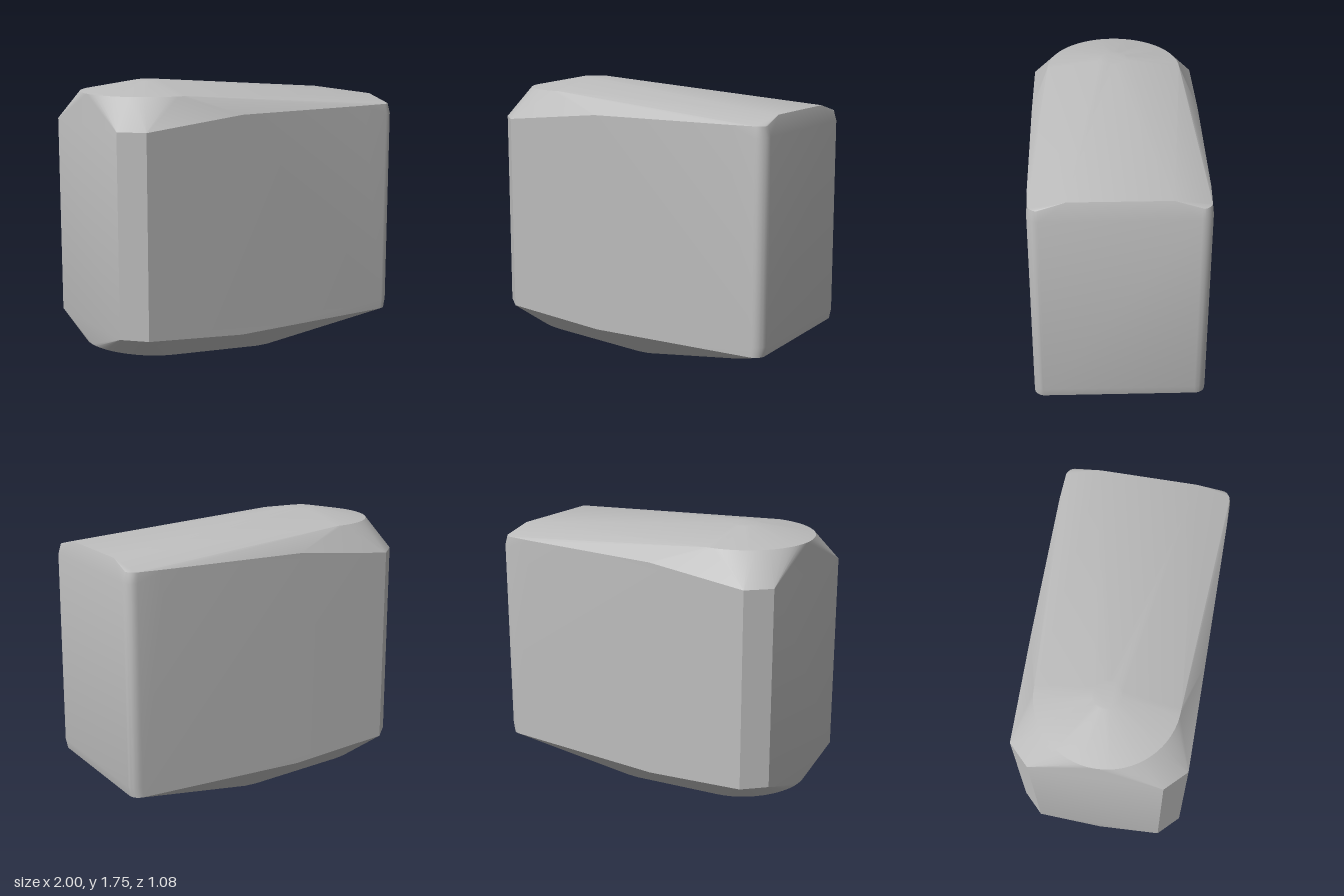
import * as THREE from 'three';
import { toCreasedNormals } from 'three/addons/utils/BufferGeometryUtils.js';
import { ConvexGeometry } from 'three/addons/geometries/ConvexGeometry.js';

export function createModel() {
  const group = new THREE.Group();
  const grey = new THREE.MeshStandardMaterial({ color: 0xbcbcbc });
  grey.name = 'plain grey';

  const points = [];
  const add = (x, y, z) => points.push(new THREE.Vector3(x, y, z));
  // a point on each side of the centre plane
  const pair = (x, y, z) => { add(x, y, z); add(x, y, -z); };

  // crown: small flat disc and the rounded shoulder around it
  for (let i = 0; i < 16; i++) {
    const a = (i / 16) * Math.PI * 2;
    add(-0.56 + 0.09 * Math.cos(a), 1.745, 0.09 * Math.sin(a));
  }
  for (let i = 0; i <= 32; i++) {
    const a = Math.PI / 2 + (i / 32) * Math.PI;
    add(-0.55 + 0.44 * Math.cos(a), 1.68, 0.44 * Math.sin(a));
  }
  pair(0.97, 1.605, 0.31); // low end of the sloping top

  // chamfered end
  for (const y of [0.22, 1.49]) {
    pair(-1, y, 0.41);
    pair(-0.87, y, 0.54);
  }

  // side walls
  pair(-0.2, 1.555, 0.54);
  pair(0.75, 1.555, 0.54);
  pair(-0.2, 0.155, 0.54);

  // rounded upright corners, drawn in slightly at both ends
  for (let i = 0; i <= 8; i++) {
    const a = (i / 8) * Math.PI / 2, c = Math.cos(a), s = Math.sin(a);
    pair(0.93 + 0.07 * c, 0.22, 0.47 + 0.07 * s);
    pair(0.93 + 0.07 * c, 1.49, 0.47 + 0.07 * s);
    pair(0.92 + 0.065 * c, 0.155, 0.475 + 0.065 * s);
    pair(0.92 + 0.062 * c, 1.555, 0.47 + 0.062 * s);
  }

  // keel: rounded at one end, rising at the other
  for (let i = 0; i <= 24; i++) {
    const a = Math.PI / 2 + (i / 24) * Math.PI;
    const x = -0.61 + 0.38 * Math.cos(a);
    add(x, 0.08 * (0.02 - x) / 1.01, 0.38 * Math.sin(a));
  }
  pair(0.02, 0, 0.38);
  pair(0.1, 0, 0.38);
  pair(0.76, 0.075, 0.38);

  const body = new THREE.Mesh(toCreasedNormals(new ConvexGeometry(points), 0.45), grey);
  body.name = 'body';
  group.add(body);
  return group;
}
